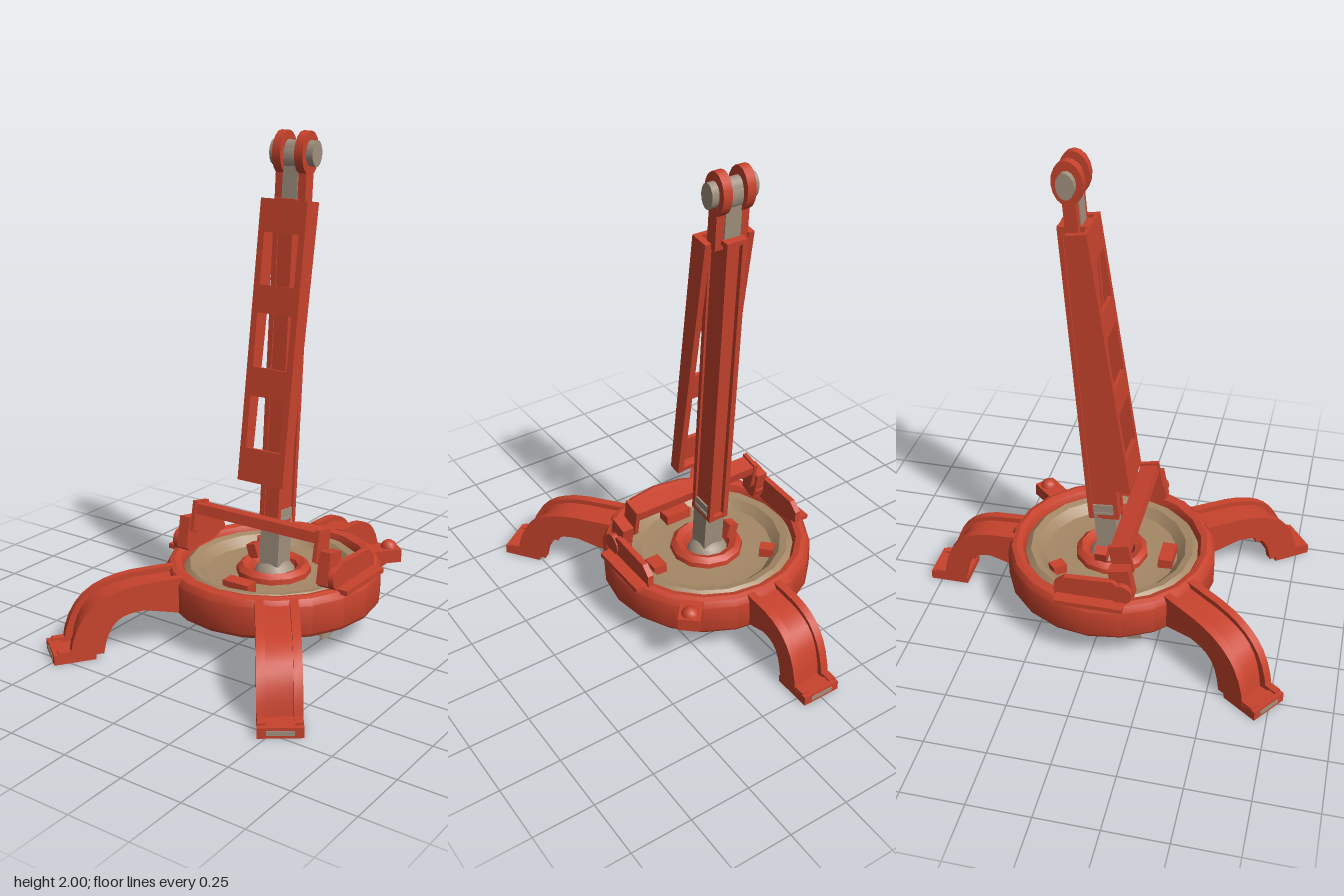
import * as THREE from 'three';
import { toCreasedNormals } from 'three/addons/utils/BufferGeometryUtils.js';

const paint = (name, color) => {
  const m = new THREE.MeshStandardMaterial({ color });
  m.name = name;
  return m;
};

export function createModel() {
  const red = paint('red paint', 0xc8432d);
  const tan = paint('tan dish', 0xa58866);
  const grey = paint('bare metal', 0xa1917f);
  const model = new THREE.Group();
  model.name = 'jackStand';

  const add = (parent, name, geo, mat, x = 0, y = 0, z = 0, rx = 0, ry = 0, rz = 0) => {
    const m = new THREE.Mesh(geo, mat);
    m.name = name;
    m.position.set(x, y, z);
    m.rotation.set(rx, ry, rz);
    parent.add(m);
    return m;
  };
  const group = (parent, name, x = 0, y = 0, z = 0) => {
    const g = new THREE.Group();
    g.name = name;
    g.position.set(x, y, z);
    parent.add(g);
    return g;
  };
  const box = (w, h, d) => new THREE.BoxGeometry(w, h, d);
  const vec = (pts) => pts.map(([x, y]) => new THREE.Vector2(x, y));
  const lathe = (pts, n) => toCreasedNormals(new THREE.LatheGeometry(vec(pts), n), 0.6);
  const slab = (shape, depth) => {
    const g = new THREE.ExtrudeGeometry(shape, { depth, bevelEnabled: false, curveSegments: 8 });
    g.translate(0, 0, -depth / 2);
    return toCreasedNormals(g, 0.6);
  };

  // Base ring with a recessed floor
  add(model, 'baseRing', lathe([[0, 0.19], [0.39, 0.19], [0.4, 0.13], [0.43, 0.13], [0.44, 0.145],
    [0.44, 0.26], [0.425, 0.285], [0.405, 0.292], [0.38, 0.285], [0.368, 0.26], [0.368, 0.21], [0, 0.21]], 20), red);
  add(model, 'dish', lathe([[0.375, 0.215], [0.372, 0.25], [0.345, 0.274], [0.315, 0.268], [0.293, 0.245],
    [0.28, 0.23], [0.2, 0.225], [0.1, 0.232]], 18), tan);
  add(model, 'socketCollar', lathe([[0.155, 0.22], [0.152, 0.25], [0.13, 0.268], [0.1, 0.255], [0.085, 0.22]], 12), red);
  const ball = add(model, 'pivotBall', new THREE.SphereGeometry(0.09, 16, 12), grey, 0, 0.2, -0.01);
  ball.scale.y = 0.95;

  // Stop tabs inside the dish
  [[0, 0.24, 0], [0.26, -0.01, Math.PI / 2], [-0.18, -0.19, -2.38]].forEach(([x, z, a]) =>
    add(model, 'stopTab', box(0.12 - Math.abs(a) * 0.03, 0.05, 0.06), red, x, 0.245, z, 0, a));
  add(model, 'collarCatch', box(0.045, 0.06, 0.05), red, -0.105, 0.29, -0.02, 0, 0, 0.3);

  // Three curved legs: web between two raised rails, ending in a foot
  const legShape = (inset) => {
    const s = new THREE.Shape();
    s.moveTo(0, 0.14 + inset);
    s.lineTo(0, 0.29 - inset);
    s.lineTo(0.12, 0.285 - inset);
    s.bezierCurveTo(0.24, 0.27 - inset, 0.31 - inset, 0.2, 0.325 - inset, 0.02);
    s.lineTo(0.23 + inset, 0.02);
    s.bezierCurveTo(0.215 + inset, 0.15, 0.18, 0.175 + inset, 0.11, 0.175 + inset);
    s.closePath();
    return s;
  };
  const rail = slab(legShape(0), 0.033);
  const web = slab(legShape(0.022), 0.11);
  const addLeg = (name, dx, dz, start, stretch) => {
    const leg = group(model, name, dx * start, 0, dz * start);
    leg.rotation.y = Math.atan2(-dz, dx);
    const arch = group(leg, 'legArch');
    arch.scale.x = stretch;
    add(arch, 'legWeb', web, red);
    for (const s of [-1, 1]) add(arch, 'legRail', rail, red, 0, 0, s * 0.066);
    const end = 0.325 * stretch;
    add(leg, 'foot', box(0.165, 0.03, 0.165), red, end - 0.02, 0.015, 0);
    add(leg, 'footLip', box(0.05, 0.012, 0.165), red, end + 0.037, 0.034, 0);
    for (const s of [-1, 1]) add(leg, 'footGusset', box(0.09, 0.02, 0.03), red, end, 0.038, s * 0.066);
    add(leg, 'footWearPlate', box(0.004, 0.018, 0.1), grey, end + 0.063, 0.02, 0);
  };
  addLeg('backLeg', 0, -1, 0.41, 1);
  addLeg('frontLeftLeg', 0.585, 0.811, 0.41, 1.4);
  addLeg('frontRightLeg', -0.585, 0.811, 0.41, 1.4);

  // Small ball lug on the rim
  const lug = group(model, 'rimLug', 0.33, 0, -0.37);
  lug.rotation.y = Math.atan2(0.37, 0.33);
  add(lug, 'lugBlock', box(0.13, 0.055, 0.09), red, -0.025, 0.258, 0);
  add(lug, 'lugBall', new THREE.SphereGeometry(0.036, 12, 8), red, 0, 0.28, 0);

  // Carry handle, its hinge knobs and the side ears
  const ear = new THREE.Shape(vec([[-0.13, 0.27], [-0.13, 0.35], [-0.09, 0.385], [0.11, 0.375], [0.15, 0.34], [0.15, 0.27]]));
  const earGeo = slab(ear, 0.025);
  add(model, 'handleBar', box(0.6, 0.042, 0.075), red, 0, 0.472, 0.1, -0.2);
  for (const s of [-1, 1]) {
    add(model, 'sideEar', earGeo, red, s * 0.372, 0, 0, 0, Math.PI / 2);
    add(model, 'earBase', box(0.07, 0.02, 0.28), red, s * 0.4, 0.285, 0);
    add(model, 'handleEnd', box(0.018, 0.125, 0.085), red, s * 0.297, 0.442, 0.107, -0.2);
    add(model, 'hingeArm', box(0.05, 0.13, 0.085), red, s * 0.34, 0.365, 0.12, -0.2);
    add(model, 'hingeLink', box(0.045, 0.03, 0.055), red, s * 0.31, 0.385, 0.11, -0.2);
    add(model, 'hingeKnob', new THREE.CylinderGeometry(0.045, 0.045, 0.07, 12), red, s * 0.355, 0.33, 0.125, 0, 0, Math.PI / 2);
    add(model, 'hingeTail', box(0.012, 0.1, 0.06), grey, s * 0.36, 0.145, 0.168, -0.2);
  }

  // Leaning column, hollowed on its four sides by corner posts
  const column = group(model, 'column', 0, 0.43, -0.025);
  column.rotation.x = -0.084;
  add(column, 'stem', box(0.09, 0.2, 0.09), grey, 0, -0.07, 0.005);
  add(column, 'columnCore', box(0.07, 1.3, 0.09), red, 0, 0.655, 0);
  for (const sx of [-1, 1]) {
    for (const sz of [-1, 1]) add(column, 'cornerPost', box(0.022, 1.31, 0.02), red, sx * 0.034, 0.655, sz * 0.054);
    add(column, 'sidePlate', box(0.006, 0.04, 0.085), grey, sx * 0.038, 0.045, 0);
  }
  for (const y of [0.01, 1.3]) add(column, 'columnCap', box(0.09, 0.02, 0.125), red, 0, y, 0);
  add(column, 'frontPad', box(0.05, 1.28, 0.014), red, 0, 0.655, 0.052);

  // Clevis with a pin at the top
  add(column, 'neck', box(0.07, 0.2, 0.06), grey, 0, 1.39, 0);
  const eye = new THREE.CylinderGeometry(0.06, 0.06, 0.038, 16);
  eye.rotateZ(Math.PI / 2);
  const pin = new THREE.CylinderGeometry(0.035, 0.035, 0.2, 14);
  pin.rotateZ(Math.PI / 2);
  add(column, 'clevisPin', pin, grey, 0, 1.485, 0).scale.y = 1.45;
  add(column, 'neckEye', eye, grey, 0, 1.47, 0).scale.set(1.7, 1, 0.65);
  for (const s of [-1, 1]) {
    add(column, 'clevisEye', eye, red, s * 0.051, 1.485, 0).scale.y = 1.43;
    add(column, 'clevisArm', box(0.036, 0.18, 0.05), red, s * 0.053, 1.36, 0);
  }

  // Ladder frame leaning against the column
  const frame = group(model, 'ladderFrame', 0, 0.63, 0.095);
  frame.rotation.x = -0.152;
  const face = new THREE.Shape(vec([[-0.108, 0], [0.108, 0], [0.108, 1.12], [-0.108, 1.12]]));
  for (const [a, b] of [[0.135, 0.345], [0.46, 0.675], [0.785, 0.99]]) {
    face.holes.push(new THREE.Path(vec([[-0.08, a], [-0.08, b], [0.08, b], [0.08, a]])));
  }
  add(frame, 'frameFace', slab(face, 0.016), red, 0, 0, -0.004);
  const side = new THREE.Shape(vec([[0, 0], [0.05, 0], [0.078, 1.12], [0, 1.12]]));
  const sideGeo = slab(side, 0.026);
  for (const s of [-1, 1]) add(frame, 'frameSide', sideGeo, red, s * 0.095, 0, 0, 0, Math.PI / 2);
  add(frame, 'frameFoot', box(0.19, 0.02, 0.045), red, 0, 0.01, -0.025);

  return model;
}
